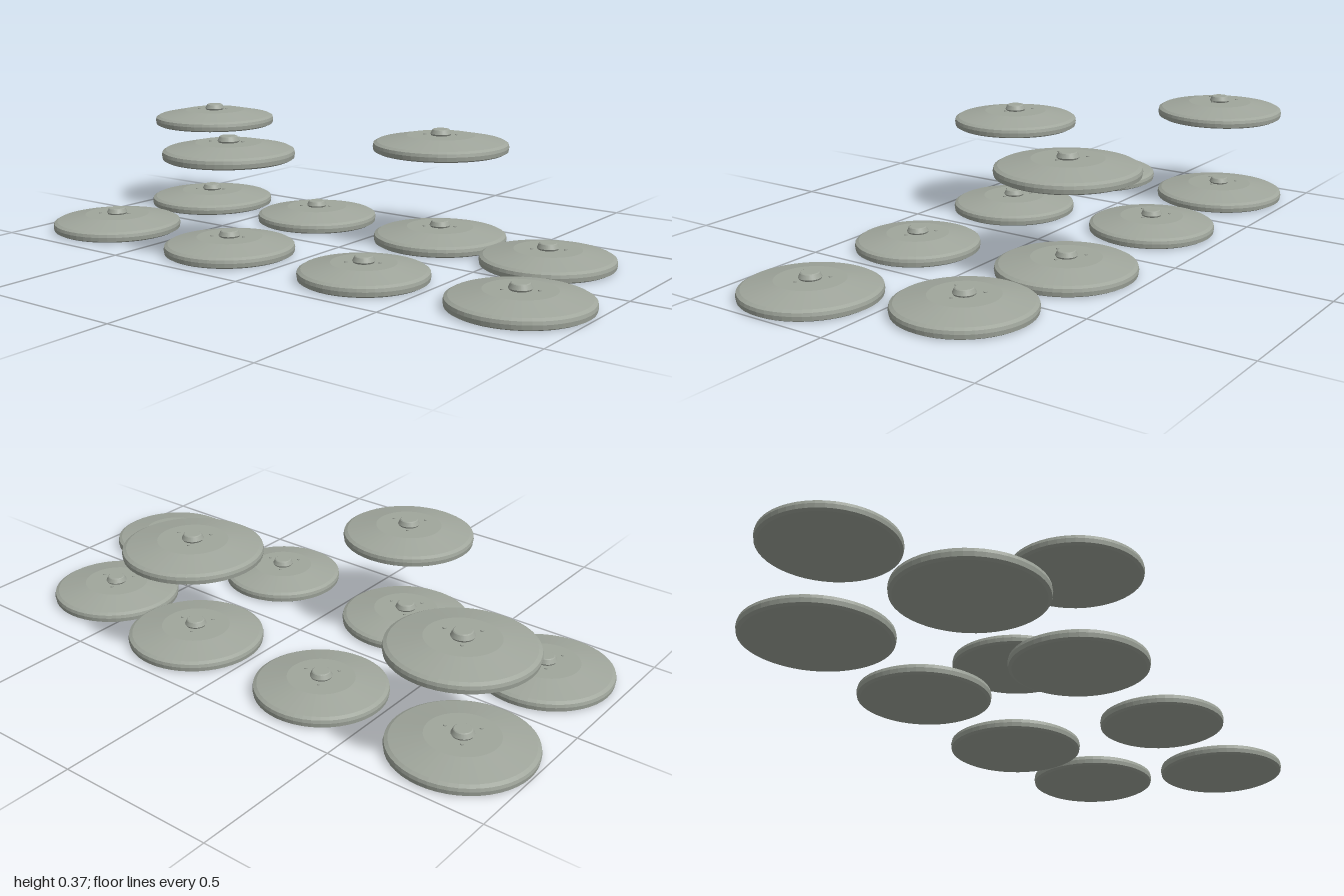
import * as THREE from 'three';

const SEGMENTS = 48;

// Lathe from [radius, height] pairs, listed from the bottom centre upwards
function turned(points, material, name) {
  const profile = points.map(([r, y]) => new THREE.Vector2(r, y));
  const mesh = new THREE.Mesh(new THREE.LatheGeometry(profile, SEGMENTS), material);
  mesh.name = name;
  return mesh;
}

// One shallow domed disc with a central boss and three small studs
function makeDisc(radius, material) {
  const disc = new THREE.Group();
  disc.name = 'disc';

  // Closed body: undercut foot, short rim, sloping shoulder, flat crown
  disc.add(turned([
    [0, 0], [radius * 0.945, 0], [radius * 0.99, 0.005], [radius, 0.018],
    [radius * 0.99, 0.028], [radius * 0.94, 0.034], [radius * 0.5, 0.053], [0, 0.053],
  ], material, 'body'));

  // Boss tapering towards the top
  disc.add(turned([
    [0, 0.053], [0.031, 0.053], [0.034, 0.058], [0.028, 0.071], [0.025, 0.073], [0, 0.073],
  ], material, 'boss'));

  // Studs hovering just above the crown
  for (let i = 0; i < 3; i++) {
    const angle = (i * Math.PI * 2) / 3;
    const stud = new THREE.Mesh(new THREE.CylinderGeometry(0.005, 0.005, 0.003, 12), material);
    stud.position.set(Math.cos(angle) * 0.058, 0.06, Math.sin(angle) * 0.058);
    stud.name = 'stud';
    disc.add(stud);
  }
  return disc;
}

export function createModel() {
  const model = new THREE.Group();
  model.name = 'discs';
  const metal = new THREE.MeshStandardMaterial({ color: 0xa0a69c, flatShading: true });
  metal.name = 'grey green metal';

  // x, z, radius for each layer
  const layers = [
    { name: 'lowerLayer', y: 0, discs: [
      [-0.78, -0.256, 0.219], [-0.287, -0.256, 0.205], [0.222, -0.254, 0.216], [0.644, -0.197, 0.209],
      [-0.76, 0.243, 0.213], [-0.235, 0.26, 0.207], [0.287, 0.261, 0.197], [0.789, 0.238, 0.209],
    ] },
    { name: 'upperLayer', y: 0.3, discs: [
      [-0.76, -0.256, 0.214], [0.219, -0.255, 0.219], [-0.237, 0.254, 0.206],
    ] },
  ];

  for (const { name, y, discs } of layers) {
    const layer = new THREE.Group();
    layer.name = name;
    layer.position.y = y;
    for (const [x, z, radius] of discs) {
      const disc = makeDisc(radius, metal);
      disc.position.set(x, 0, z);
      layer.add(disc);
    }
    model.add(layer);
  }
  return model;
}
